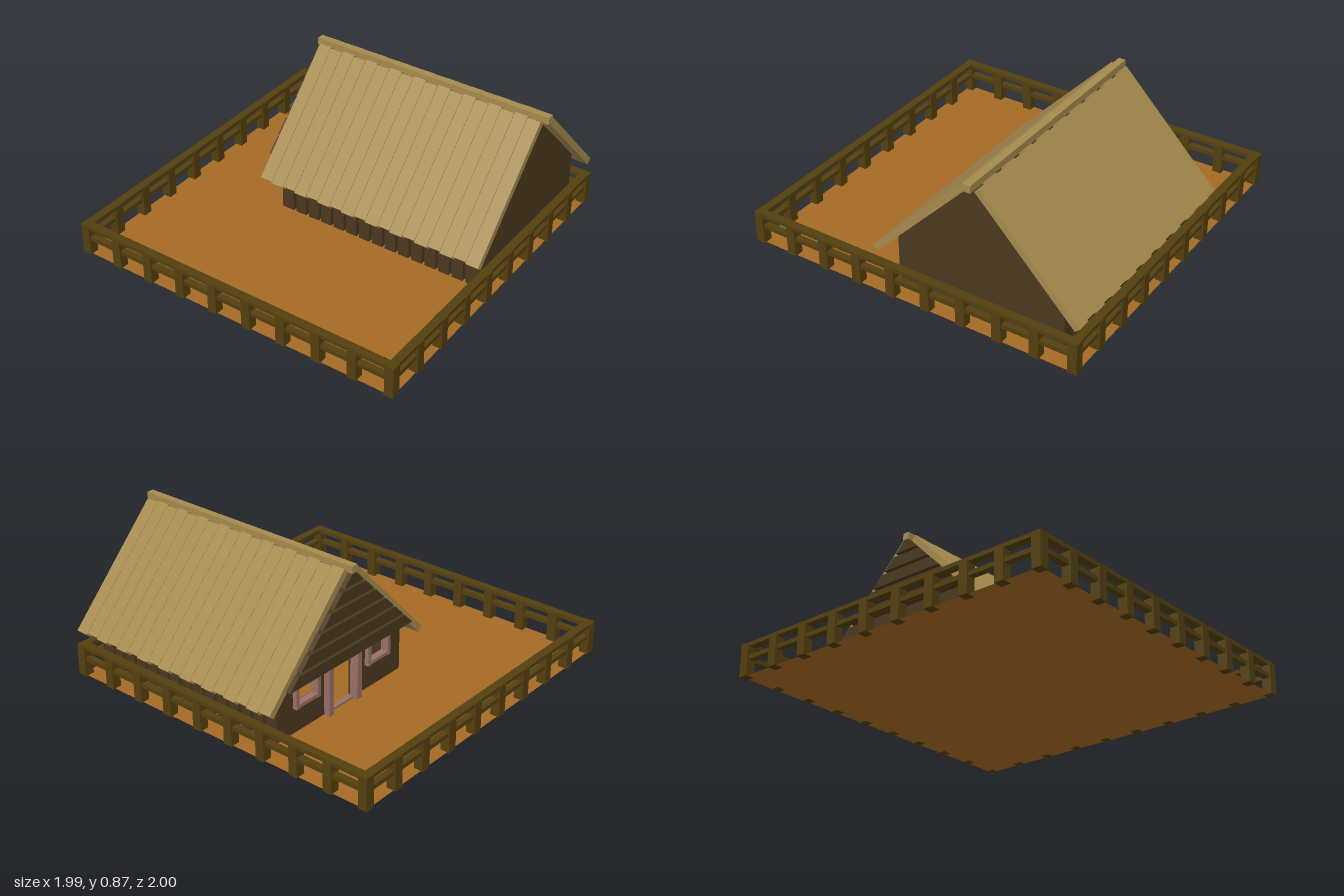
import * as THREE from 'three';

const paint = (color) => new THREE.MeshStandardMaterial({ color, flatShading: true });

export function createModel() {
  const model = new THREE.Group();
  const soil = paint(0xa66a24), fenceWood = paint(0x54400f), wallWood = paint(0x4a3820);
  const thatch = paint(0xa58a4e), trim = paint(0x9a7068);
  soil.side = THREE.DoubleSide;

  const group = (name) => {
    const g = new THREE.Group();
    g.name = name;
    model.add(g);
    return g;
  };
  const box = (parent, name, mat, size, pos, rotZ = 0) => {
    const m = new THREE.Mesh(new THREE.BoxGeometry(...size), mat);
    m.name = name;
    m.position.set(...pos);
    m.rotation.z = rotZ;
    parent.add(m);
    return m;
  };
  const polygon = (points, Type = THREE.Shape) =>
    new Type(points.map(([x, y]) => new THREE.Vector2(x, y)));
  const rect = (x, y0, w, h) =>
    [[x - w / 2, y0], [x - w / 2, y0 + h], [x + w / 2, y0 + h], [x + w / 2, y0]];
  const slab = (parent, name, shape, z, depth) => {
    const m = new THREE.Mesh(
      new THREE.ExtrudeGeometry(shape, { depth, bevelEnabled: false }), wallWood);
    m.name = name;
    m.position.z = z;
    parent.add(m);
  };

  // Yard
  const yard = new THREE.Mesh(new THREE.PlaneGeometry(1.96, 1.96), soil);
  yard.name = 'yard';
  yard.rotation.x = -Math.PI / 2;
  yard.position.set(-0.006, 0.002, -0.006);
  model.add(yard);

  // Fence: four equal runs of nine bays around the yard
  const fence = group('fence');
  fence.position.set(-0.006, 0, -0.006);
  const reach = 0.965;
  for (let side = 0; side < 4; side++) {
    const run = new THREE.Group();
    run.name = 'fenceRun';
    run.rotation.y = side * Math.PI / 2;
    for (let i = 0; i < 9; i++) {
      box(run, 'fencePost', fenceWood, [0.053, 0.18, 0.053],
        [-reach + i * 2 * reach / 9, 0.09, reach]);
    }
    box(run, 'topRail', fenceWood, [2 * reach + 0.05, 0.022, 0.046], [0, 0.173, reach]);
    box(run, 'lowerRail', fenceWood, [2 * reach + 0.04, 0.024, 0.036], [0, 0.102, reach]);
    fence.add(run);
  }

  // House measurements
  const mid = 0.385, half = 0.485, floor = 0.045, eave = 0.345, peak = 0.83;
  const front = 0.91, back = -0.34;
  const house = group('house');

  // Front wall, one plain gabled panel
  slab(house, 'frontWall', polygon([[mid - half, floor], [mid + half, floor],
    [mid + half, eave], [mid, peak], [mid - half, eave]]), front - 0.03, 0.03);

  // Back wall with a doorway and two windows
  const winX = [mid - 0.285, mid + 0.275], winY = 0.2, winW = 0.16, winH = 0.14;
  const backShape = polygon([[mid - half, floor], [mid - 0.1, floor], [mid - 0.1, 0.33],
    [mid + 0.1, 0.33], [mid + 0.1, floor], [mid + half, floor],
    [mid + half, eave], [mid, peak], [mid - half, eave]]);
  for (const x of winX) backShape.holes.push(polygon(rect(x, winY, winW, winH), THREE.Path));
  slab(house, 'backWall', backShape, back, 0.03);

  // Horizontal boards covering the back gable, cut to the roof pitch
  for (let i = 0; i < 6; i++) {
    const y0 = 0.358 + i * 0.081, y1 = Math.min(y0 + 0.065, peak - 0.002);
    const w0 = peak - y0 + 0.008, w1 = peak - y1 + 0.008;
    slab(house, 'gableBoard', polygon([[mid - w0, y0], [mid + w0, y0],
      [mid + w1, y1], [mid - w1, y1]]), -0.427, 0.087);
  }

  // Side walls faced with spaced upright boards
  const count = 15, pitch = (front - back) / count;
  for (const s of [-1, 1]) {
    box(house, 'sideWall', wallWood, [0.02, eave - floor, front - back - 0.02],
      [mid + s * (half - 0.035), (eave + floor) / 2, (front + back) / 2]);
    for (let i = 0; i < count; i++) {
      box(house, 'sideBoard', wallWood, [0.03, eave - floor, 0.065],
        [mid + s * (half - 0.015), (eave + floor) / 2, back + (i + 0.5) * pitch]);
    }
  }

  // Door frame
  const door = group('doorFrame');
  for (const s of [-1, 1]) {
    box(door, 'doorPost', trim, [0.035, 0.315, 0.05], [mid + s * 0.112, floor + 0.155, back - 0.01]);
  }
  box(door, 'doorLintel', trim, [0.26, 0.03, 0.045], [mid, 0.343, back - 0.008]);
  box(door, 'doorSill', trim, [0.22, 0.012, 0.03], [mid, floor, back + 0.01]);

  // Window frames
  for (const x of winX) {
    const frame = group('windowFrame');
    for (const s of [-1, 1]) {
      box(frame, 'windowJamb', trim, [0.022, winH + 0.022, 0.045],
        [x + s * winW / 2, winY + winH / 2, back - 0.003]);
      box(frame, 'windowRail', trim, [winW + 0.022, 0.02, 0.04],
        [x, winY + winH / 2 + s * winH / 2, back - 0.003]);
    }
  }

  // Roof planks on both slopes, alternately shifted along the slope
  const roof = group('roof');
  const planks = 18, width = 1.37 / planks, angle = 0.802;
  for (const s of [-1, 1]) {
    for (let i = 0; i < planks; i++) {
      const shift = (i % 2 ? 1 : -1) * 0.004;
      box(roof, 'roofPlank', thatch, [0.8, 0.038, width - 0.002],
        [mid + s * (0.31 + shift * 0.7), 0.547 - shift * 0.72, -0.4 + (i + 0.5) * width], -s * angle);
    }
  }
  box(roof, 'ridgeBeam', thatch, [0.04, 0.04, 1.43], [mid, 0.845, 0.285]);

  return model;
}
